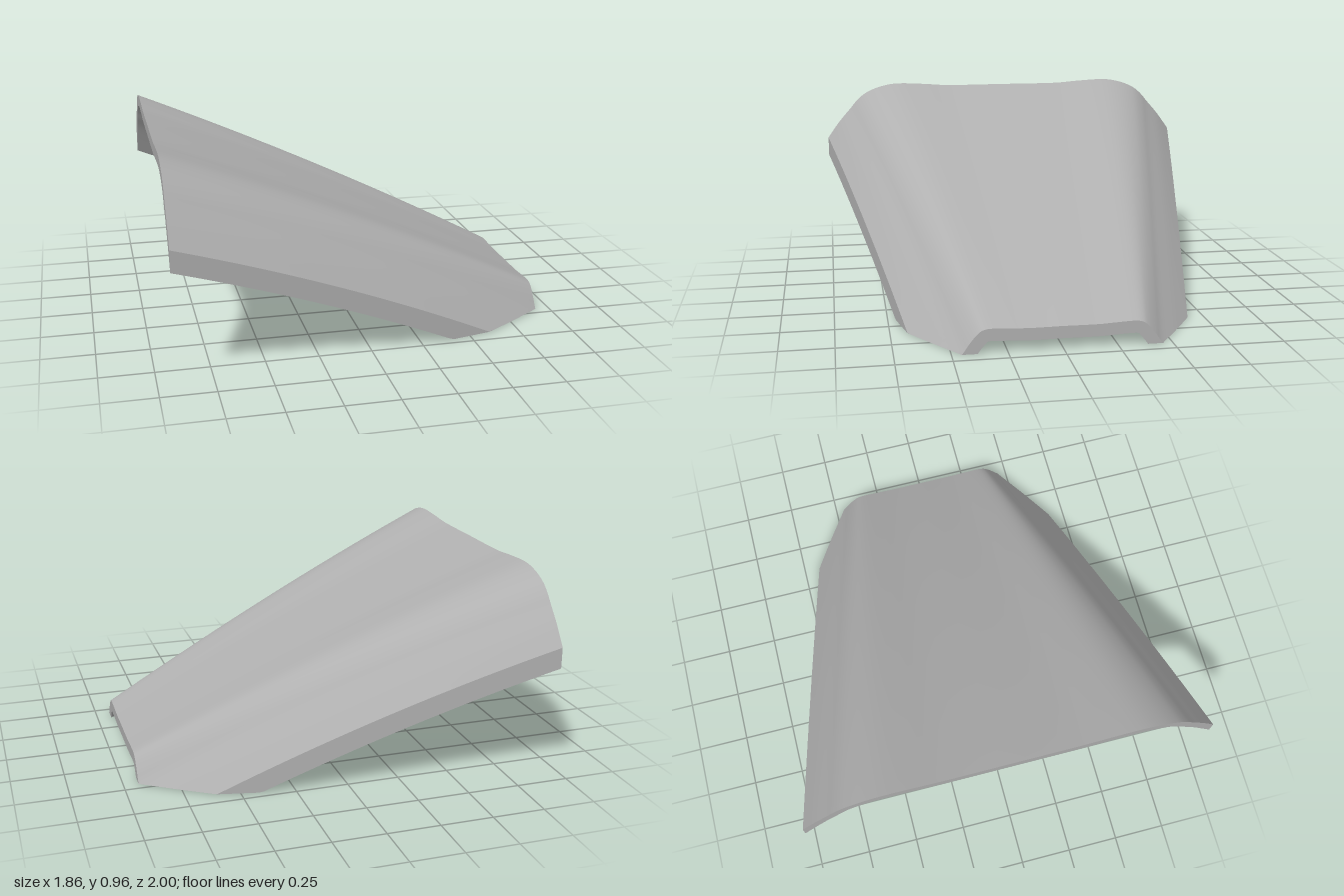
import * as THREE from 'three';

const HALF = 0.93, SKIN = 0.057, EDGE = 0.1, N = 36;

// Half cross-sections [z, y] of the outer skin, centre line to side edge
const REAR = [[0, .945], [.3, .945], [.45, .955], [.6, .961], [.7, .945], [.78, .912],
  [.83, .872], [.87, .825], [.935, .75], [1, .66]];
const NOSE = [[0, .107], [.15, .106], [.24, .11], [.32, .113], [.36, .107], [.387, .088],
  [.42, .049], [.455, 0], [.525, -.08], [.6, -.17]];

// Sample a half section down to where it meets the ground
function sampleToGround(curve) {
  let end = 1;
  if (curve.getPoint(1).y < 0) {
    let lo = 0;
    for (let i = 0; i < 30; i++) {
      const mid = (lo + end) / 2;
      if (curve.getPoint(mid).y > 0) lo = mid; else end = mid;
    }
  }
  const pts = [];
  for (let i = 0; i <= N; i++) {
    const p = curve.getPoint(end * i / N);
    pts.push(new THREE.Vector2(p.x, Math.max(0, p.y)));
  }
  return pts;
}

// Outer and inner half sections, and the lower corner of the side edge, at one x
function sectionAt(x) {
  const t = (x + HALF) / (2 * HALF), arch = 1 - (x / HALF) ** 2, last = REAR.length - 1;
  const ctrl = REAR.map(([z, y], i) => new THREE.Vector2(
    THREE.MathUtils.lerp(z, NOSE[i][0], t),
    THREE.MathUtils.lerp(y, NOSE[i][1], t) + arch * (i < 6 ? .029 : .029 + .004 * (i - 5))));
  const outerCurve = new THREE.SplineCurve(ctrl);
  const inset = ctrl.map((p, i) => {
    if (i === last) return new THREE.Vector2(p.x, p.y - EDGE);
    if (i === 0) return new THREE.Vector2(0, p.y - SKIN);
    const d = outerCurve.getTangent(i / last);
    return new THREE.Vector2(p.x + d.y * SKIN, p.y - d.x * SKIN);
  });
  const outer = sampleToGround(outerCurve);
  const inner = sampleToGround(new THREE.SplineCurve(inset));
  const corner = new THREE.Vector2(outer[N].x, Math.max(0, inset[last].y));
  return { x, outer, inner, corner };
}

// Full mirrored row of 3D points from a half section
function fullRow(x, half) {
  const right = half.slice(1).reverse().map(p => new THREE.Vector3(x, p.y, -p.x));
  return right.concat(half.map(p => new THREE.Vector3(x, p.y, p.x)));
}

// Smooth surface through equal rows of points
function surface(rows, flip) {
  const cols = rows[0].length, pts = rows.flat(), index = [];
  const tri = (a, b, c) => {
    const area = new THREE.Triangle(pts[a], pts[b], pts[c]).getArea();
    if (area > 1e-9) index.push(...(flip ? [a, c, b] : [a, b, c]));
  };
  for (let i = 0; i < rows.length - 1; i++) {
    for (let j = 0; j < cols - 1; j++) {
      const a = i * cols + j, c = a + cols;
      tri(a, a + 1, c);
      tri(a + 1, c + 1, c);
    }
  }
  const geo = new THREE.BufferGeometry().setFromPoints(pts);
  geo.setIndex(index);
  geo.computeVertexNormals();
  return geo;
}

export function createModel() {
  const group = new THREE.Group();
  group.name = 'curvedCowl';
  const grey = new THREE.MeshStandardMaterial({ color: 0xb0b0b0 });
  grey.name = 'grey';
  const add = (name, rows, flip) => {
    const mesh = new THREE.Mesh(surface(rows, flip), grey);
    mesh.name = name;
    group.add(mesh);
  };

  const sections = [];
  for (let i = 0; i <= 80; i++) sections.push(sectionAt(-HALF + 2 * HALF * i / 80));

  // Upper and lower skins
  add('outerSkin', sections.map(s => fullRow(s.x, s.outer)), false);
  add('innerSkin', sections.map(s => fullRow(s.x, s.inner)), true);

  // Upright side edges and the flat feet where the shell meets the ground
  for (const side of [1, -1]) {
    const label = side > 0 ? 'front' : 'back';
    const strip = (s, a, b) => [a, b].map(p => new THREE.Vector3(s.x, p.y, side * p.x));
    add(label + 'SideEdge', sections.map(s => strip(s, s.outer[N], s.corner)), side < 0);
    add(label + 'Foot', sections.filter(s => s.x > 0.35)
      .map(s => strip(s, s.corner, s.inner[N])), side < 0);
  }

  // End faces closing the thickness of the shell
  const endFace = (name, s, flip) =>
    add(name, [fullRow(s.x, s.outer), fullRow(s.x, s.inner)], flip);
  endFace('highEndFace', sections[0], true);
  endFace('lowEndFace', sections[80], false);
  return group;
}
